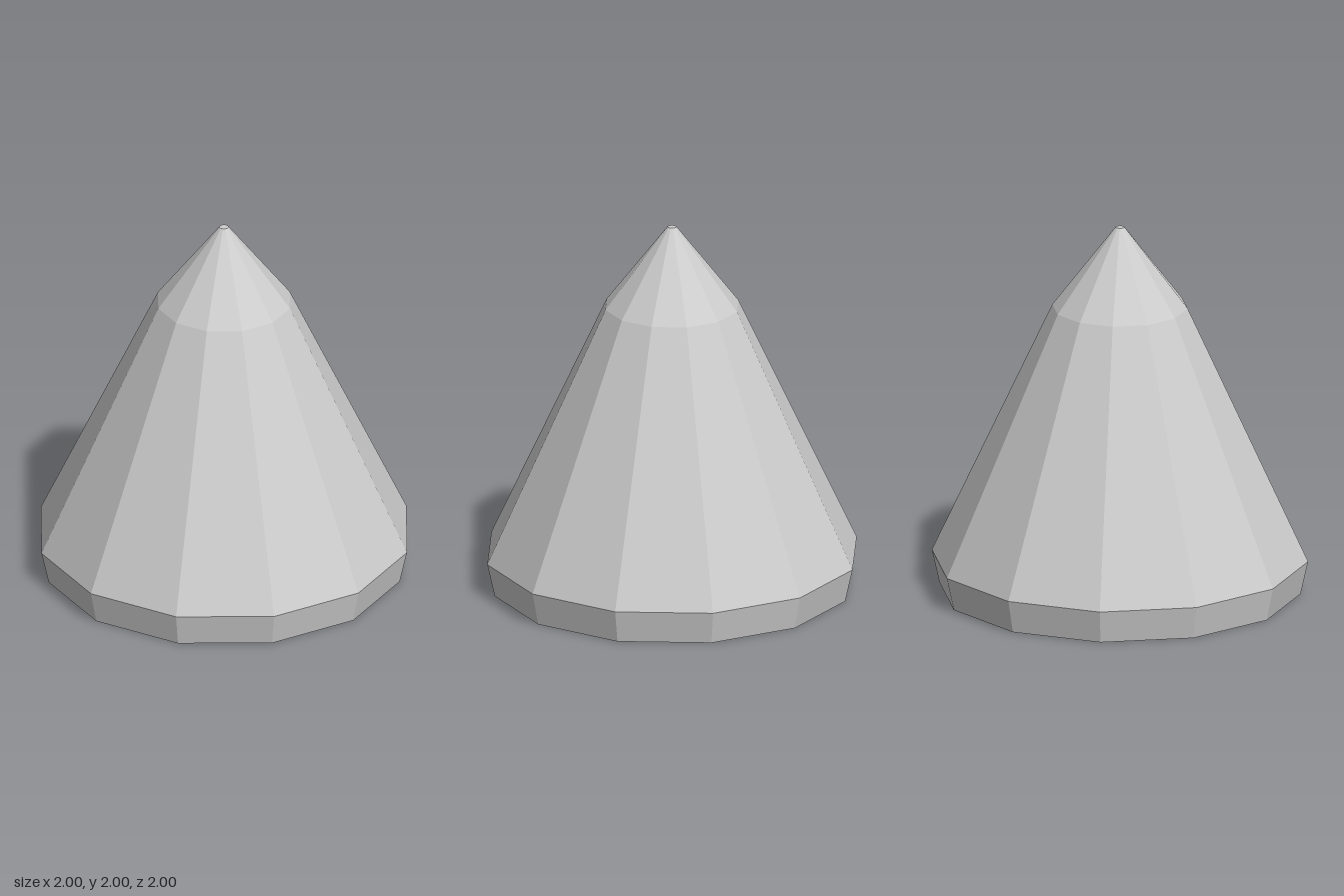
import * as THREE from 'three';

const SIDES = 12;

export function createModel() {
  const group = new THREE.Group();
  group.name = 'facetedCone';
  const grey = new THREE.MeshStandardMaterial({ color: 0xcccccc, flatShading: true });
  grey.name = 'light grey';

  // Each part is a twelve-sided band turned from [radius, height] points, bottom to top
  const addPart = (name, profile) => {
    const points = profile.map(([r, y]) => new THREE.Vector2(r, y));
    const mesh = new THREE.Mesh(new THREE.LatheGeometry(points, SIDES), grey);
    mesh.name = name;
    group.add(mesh);
  };

  // Closed foot, flaring slightly outwards
  addPart('baseRim', [[0, 0], [0.96, 0], [1, 0.18]]);
  // Long sloping sides
  addPart('coneBody', [[1, 0.18], [0.36, 1.56]]);
  // Blunter point with a tiny flat top
  addPart('coneTip', [[0.36, 1.56], [0.024, 2], [0, 2]]);

  return group;
}
